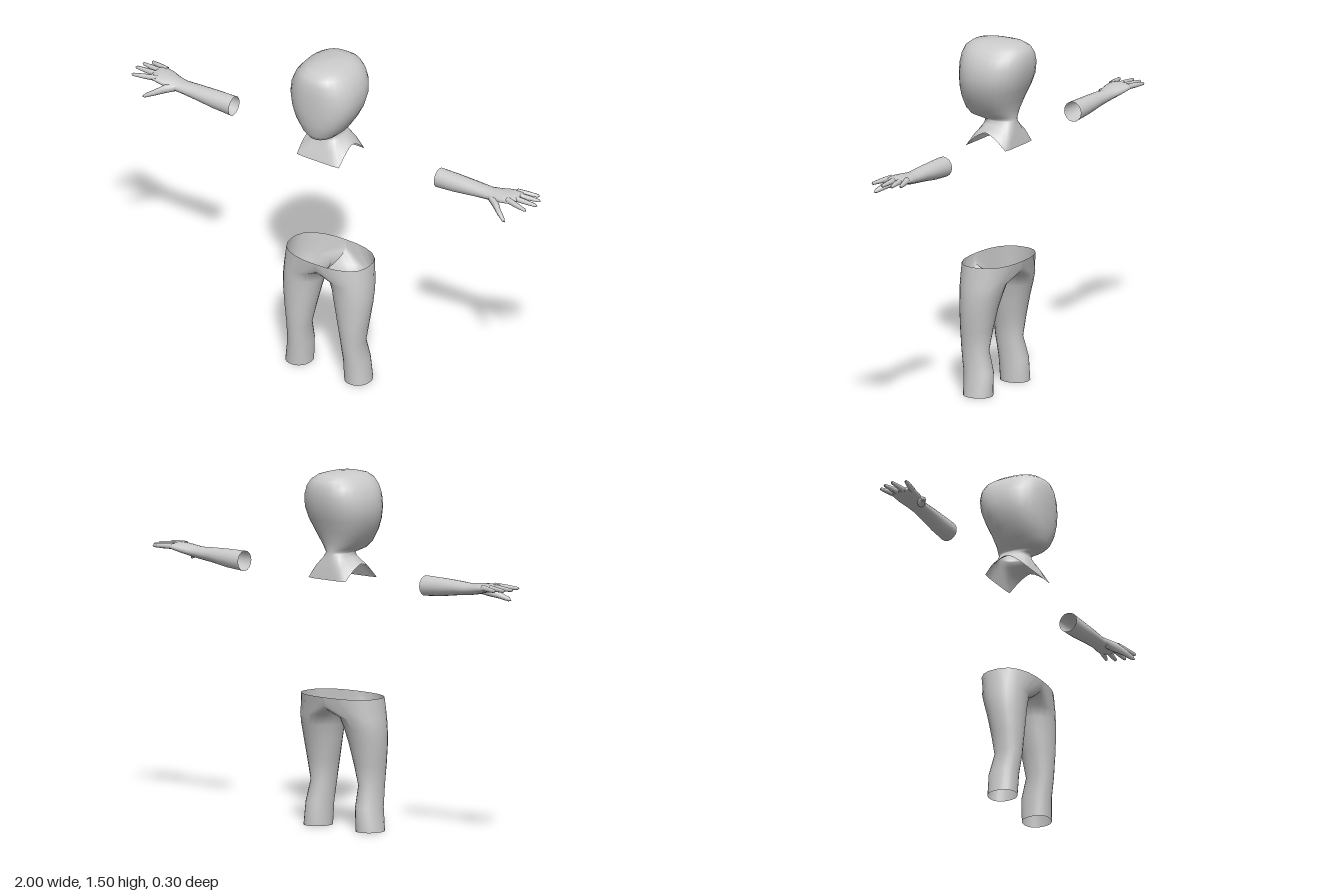
import * as THREE from 'three';

const material = new THREE.MeshStandardMaterial({ color: 0xcccccc, side: THREE.DoubleSide });

// Skins a list of closed rings (equal point counts) with smooth normals.
function loft(name, rings) {
  const n = rings[0].length;
  const index = [];
  for (let i = 0; i < rings.length - 1; i++) {
    for (let j = 0; j < n; j++) {
      const k = (j + 1) % n;
      const a = i * n + j, b = i * n + k, c = a + n, d = b + n;
      index.push(a, c, b, b, c, d);
    }
  }
  const geometry = new THREE.BufferGeometry().setFromPoints(rings.flat());
  geometry.setIndex(index);
  geometry.computeVertexNormals();
  const mesh = new THREE.Mesh(geometry, material);
  mesh.name = name;
  return mesh;
}

// Calls fn(u, v, angle) around a unit outline: power 2 is round, large is square.
function ring(count, power, fn) {
  return Array.from({ length: count }, (_, i) => {
    const a = (i / count) * Math.PI * 2;
    const c = Math.cos(a), s = Math.sin(a);
    const r = (Math.abs(c) ** power + Math.abs(s) ** power) ** (-1 / power);
    return new THREE.Vector3(...fn(c * r, s * r, a));
  });
}

// Limb along x; sections are [x, centre y, half height, centre z, half depth].
const limb = (name, sections, sides) => loft(name, sections.map(([x, y, ry, z, rz]) =>
  ring(sides, 2, (u, v) => [x, y + u * ry, z - v * rz])));

// Head, neck and collar flaps: [y, half width, front z, back z, power, drop at front and back]
function makeHead() {
  const rows = [
    [1.118, 0.106, 0.095, -0.1, 40, 0.068],
    [1.126, 0.08, 0.074, -0.094, 8, 0.026],
    [1.142, 0.057, 0.055, -0.087, 3, 0.004],
    [1.158, 0.05, 0.053, -0.085, 2.2, 0],
    [1.164, 0.052, 0.085, -0.085, 2.2, 0],
    [1.173, 0.062, 0.122, -0.085, 2.3, 0],
    [1.2, 0.09, 0.138, -0.087, 2.4, 0],
    [1.25, 0.122, 0.148, -0.102, 2.5, 0],
    [1.3, 0.145, 0.152, -0.124, 2.5, 0],
    [1.35, 0.155, 0.153, -0.142, 2.5, 0],
    [1.4, 0.15, 0.152, -0.15, 2.5, 0],
    [1.44, 0.133, 0.147, -0.148, 2.5, 0],
    [1.468, 0.11, 0.136, -0.137, 2.5, 0],
    [1.486, 0.083, 0.112, -0.112, 2.5, 0],
    [1.496, 0.048, 0.07, -0.07, 2.5, 0],
    [1.5, 0, 0, 0, 2, 0],
  ];
  return loft('headAndCollar', rows.map(([y, w, front, back, power, drop]) =>
    ring(32, power, (u, v) => [
      u * w,
      y - drop * Math.abs(v) ** 1.5,
      (front + back) / 2 + v * (front - back) / 2,
    ])));
}

// One trouser half, open at ankle and waist: [y, inner x, outer x, front z, back z]
function makeLeg() {
  const rows = [
    [0, 0.09, 0.203, 0.07, -0.055],
    [0.1, 0.088, 0.19, 0.075, -0.055],
    [0.19, 0.085, 0.183, 0.088, -0.03],
    [0.28, 0.066, 0.196, 0.092, -0.044],
    [0.37, 0.046, 0.207, 0.095, -0.062],
    [0.43, 0.033, 0.208, 0.097, -0.08],
    [0.475, 0.018, 0.205, 0.1, -0.093],
  ];
  const rings = rows.map(([y, inner, outer, front, back]) =>
    ring(24, 2.2, (u, v) => [
      (inner + outer) / 2 + u * (outer - inner) / 2,
      y,
      (front + back) / 2 + v * (front - back) / 2,
    ]));
  // Outer half forms the waist rim, inner half the crotch seam on the centre plane
  rings.push(ring(24, 2.5, (u, v, a) => [
    Math.max(0, u) * 0.196,
    0.56 - 0.07 * Math.max(0, -Math.cos(a)) ** 0.6,
    -0.002 + v * 0.117,
  ]));
  return loft('leg', rings);
}

// Forearm, palm, four fingers and thumb of the left side
function makeArm() {
  const arm = new THREE.Group();
  arm.add(limb('forearmAndPalm', [
    [0.51, 1.073, 0.043, -0.048, 0.041],
    [0.6, 1.076, 0.039, -0.048, 0.04],
    [0.69, 1.081, 0.031, -0.047, 0.037],
    [0.76, 1.083, 0.025, -0.047, 0.035],
    [0.8, 1.088, 0.024, -0.047, 0.043],
    [0.84, 1.095, 0.021, -0.05, 0.052],
    [0.875, 1.1, 0.017, -0.052, 0.055],
    [0.9, 1.102, 0.012, -0.052, 0.052],
    [0.908, 1.102, 0, -0.052, 0],
  ], 16));

  // Fingers: [name, base z, tip x, tip z]
  const fingers = [
    ['littleFinger', -0.092, 0.965, -0.117],
    ['ringFinger', -0.068, 0.99, -0.086],
    ['middleFinger', -0.042, 1, -0.046],
    ['indexFinger', -0.014, 0.982, 0.012],
  ];
  for (const [name, baseZ, tipX, tipZ] of fingers) {
    const section = (t, r) => [
      THREE.MathUtils.lerp(0.87, tipX, t),
      1.104 - 0.004 * t,
      r,
      THREE.MathUtils.lerp(baseZ, tipZ, t),
      r,
    ];
    arm.add(limb(name, [section(0, 0.013), section(0.5, 0.011), section(0.92, 0.007), section(1, 0)], 8));
  }

  arm.add(limb('thumb', [
    [0.78, 1.085, 0.018, -0.025, 0.02],
    [0.82, 1.076, 0.021, -0.002, 0.021],
    [0.855, 1.06, 0.015, 0.025, 0.014],
    [0.89, 1.044, 0.01, 0.045, 0.009],
    [0.902, 1.038, 0, 0.051, 0],
  ], 8));
  return arm;
}

export function createModel() {
  const model = new THREE.Group();
  model.name = 'figure';
  model.add(makeHead());
  for (const [side, sign] of [['left', 1], ['right', -1]]) {
    const arm = makeArm();
    arm.name = side + 'Arm';
    const leg = makeLeg();
    leg.name = side + 'Leg';
    for (const part of [arm, leg]) {
      part.scale.x = sign;
      model.add(part);
    }
  }
  return model;
}
